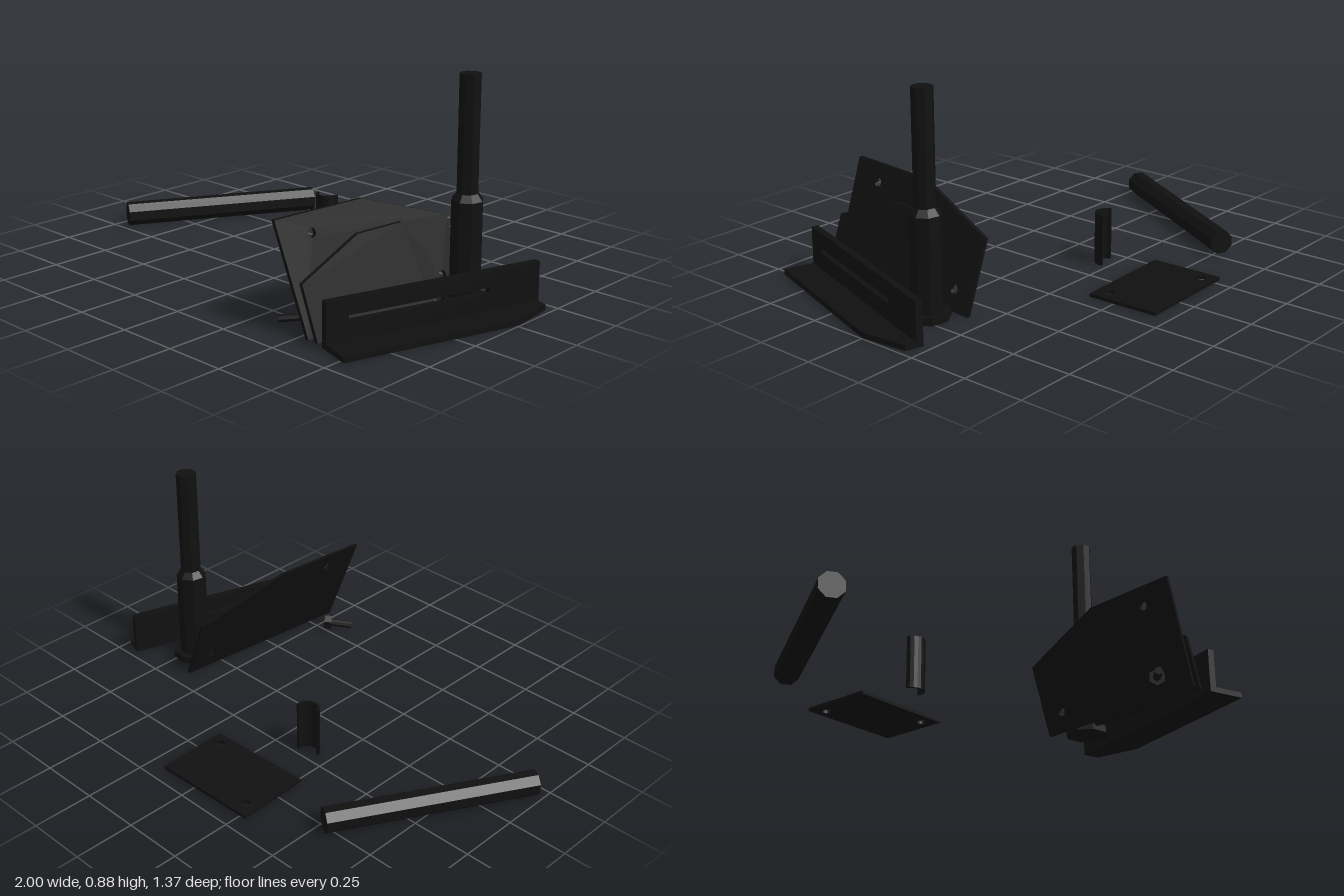
import * as THREE from 'three';

const material = new THREE.MeshStandardMaterial({ color: 0x101010, flatShading: true });
const V = (x, y, z) => new THREE.Vector3(x, y, z);

export function createModel() {
  const model = new THREE.Group();

  const add = (name, geometry) => {
    const mesh = new THREE.Mesh(geometry, material);
    mesh.name = name;
    model.add(mesh);
    return mesh;
  };

  // Sheet part: outline in the (a, b) axes from an origin, thickened along c
  const sheet = (name, outline, holes, depth, [a, b, c], origin) => {
    const shape = new THREE.Shape(outline.map(([u, v]) => new THREE.Vector2(u, v)));
    shape.holes = holes;
    const geo = new THREE.ExtrudeGeometry(shape, { depth, bevelEnabled: false, curveSegments: 10 });
    geo.applyMatrix4(new THREE.Matrix4().makeBasis(a, b, c).setPosition(origin));
    return add(name, geo);
  };
  const roundHole = (u, v, r) => new THREE.Path().absarc(u, v, r, 0, Math.PI * 2, true);

  // Rod between two points
  const rod = (name, from, to, radius, sides, twist = 0) => {
    const dir = to.clone().sub(from);
    const geo = new THREE.CylinderGeometry(radius, radius, dir.length(), sides);
    geo.rotateY(twist);
    const z = dir.normalize();
    const x = V(0, 1, 0).cross(z).normalize();
    geo.applyMatrix4(new THREE.Matrix4().makeBasis(x, z, x.clone().cross(z)));
    geo.translate(...from.clone().add(to).multiplyScalar(0.5).toArray());
    return add(name, geo);
  };

  // Loose bar lying on the ground
  rod('looseBar', V(-0.955, 0.0475, 0.21), V(-0.535, 0.0475, -0.52), 0.0514, 8, Math.PI / 8);

  // Flat plate with two diagonal holes
  const flat = [V(1, 0, 0), V(0, 0, -1), V(0, 1, 0)];
  sheet('flatPlate', [[-0.27, 0.375], [0.18, 0.39], [0.17, 0.69], [-0.28, 0.68]],
    [roundHole(-0.225, 0.63, 0.022), roundHole(0.125, 0.44, 0.022)], 0.013, flat, V(0, 0, 0));

  // Upright half sleeve
  const arc = [];
  const steps = 10;
  for (const r of [0.049, 0.039]) {
    for (let i = 0; i <= steps; i++) {
      const t = r > 0.04 ? i : steps - i;
      const angle = Math.PI + 0.26 + (t / steps) * Math.PI;
      arc.push([-0.152 + r * Math.cos(angle), 0.218 + r * Math.sin(angle)]);
    }
  }
  sheet('halfSleeve', arc, [], 0.215, flat, V(0, 0, 0));

  // Stepped post with a foot disc
  const profile = [[0, 0], [0.09, 0], [0.09, 0.03], [0.062, 0.03], [0.062, 0.405],
    [0.042, 0.432], [0.042, 0.88], [0, 0.88]].map(([r, y]) => new THREE.Vector2(r, y));
  add('post', new THREE.LatheGeometry(profile, 8, 0.2)).position.set(0.715, 0, -0.05);

  // Angle rail: chamfered ground flange and slotted upright flange
  const along = V(0.311, 0, -0.95).normalize();
  const up = V(0, 1, 0);
  const out = along.clone().cross(up);
  const railStart = V(0.63, 0, 0.635);
  sheet('railGroundFlange', [[0, 0], [0.153, 0], [0.153, 0.72], [0.073, 0.9], [0, 0.9]],
    [], 0.022, [out, along, up], railStart);
  const slot = new THREE.Path([[0.09, 0.09], [0.09, 0.113], [0.68, 0.113], [0.68, 0.09]]
    .map(([u, v]) => new THREE.Vector2(u, v)));
  sheet('railUprightFlange', [[0, 0], [0.9, 0], [0.9, 0.177], [0, 0.177]],
    [slot], 0.028, [along, up, out], railStart);

  // Two leaning side plates, outlined in (z, y)
  const lean = [V(-0.1, 0, 1), V(-0.375, 1, 0), V(-1, 0, 0)];
  sheet('leaningPlate', [[-0.17, 0], [0.62, 0], [0.632, 0.41], [0.22, 0.41], [-0.17, 0.28]],
    [roundHole(0.485, 0.34, 0.018), roundHole(-0.07, 0.075, 0.018)], 0.015, lean, V(0.612, 0, 0));
  sheet('leaningInnerPlate', [[0.06, 0], [0.62, 0], [0.62, 0.2], [0.32, 0.312], [0.1, 0.312], [0, 0.14]],
    [], 0.015, lean, V(0.657, 0, 0));

  // Hex bolt
  const head = V(0.457, 0.034, 0.505);
  const axis = V(-0.76, -0.1, 0.64).normalize();
  const point = (d) => head.clone().addScaledVector(axis, d);
  rod('boltHead', head, point(0.032), 0.034, 6);
  rod('boltShaft', point(0.03), point(0.122), 0.016, 8);

  return model;
}
